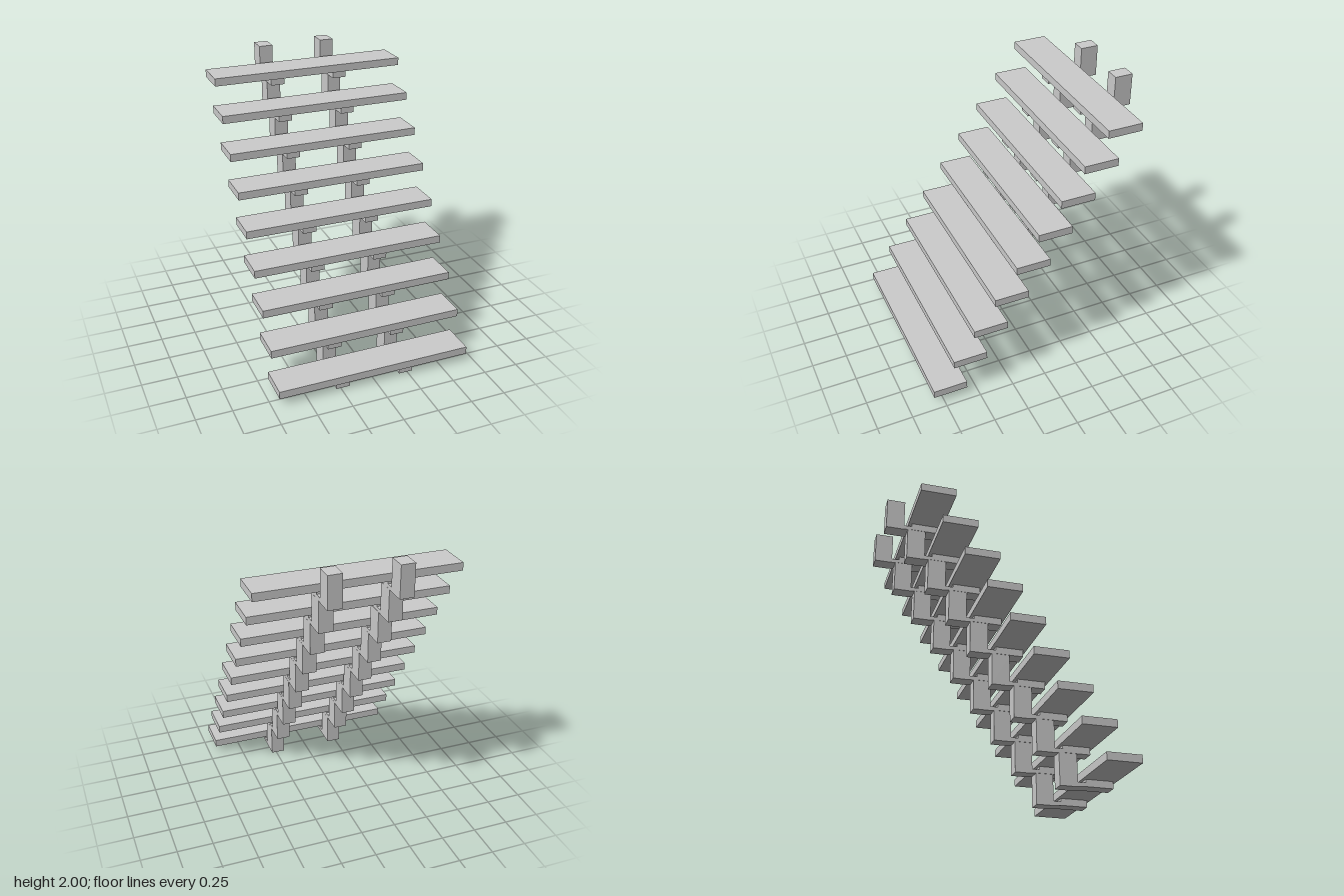
import * as THREE from 'three';

const STEPS = 9, RISE = 0.2217, RUN = 0.1538;
const mat = new THREE.MeshStandardMaterial({ color: 0xcccccc, flatShading: true });

// Side profile of one stringer segment as [z, y]: tread bracket, thin neck, upright post
const PROFILE = [
  [0.795, 0.006], [0.6, 0.006], [0.53, 0.0], [0.418, 0.0], [0.418, 0.2264],
  [0.545, 0.2264], [0.545, 0.032], [0.6, 0.032], [0.6, 0.056], [0.795, 0.056],
];

function stringerGeometry(width) {
  const shape = new THREE.Shape(PROFILE.map(([z, y]) => new THREE.Vector2(-z, y)));
  const geo = new THREE.ExtrudeGeometry(shape, { depth: width, bevelEnabled: false });
  geo.translate(0, 0, -width / 2);
  geo.rotateY(Math.PI / 2); // profile runs along z, thickness along x
  return geo;
}

export function createModel() {
  const stairs = new THREE.Group();
  stairs.name = 'staircase';
  const segmentGeo = stringerGeometry(0.098);
  const treadGeo = new THREE.BoxGeometry(1.395, 0.055, 0.243);

  for (let i = 0; i < STEPS; i++) {
    const step = new THREE.Group();
    step.name = `step${i + 1}`;
    step.position.set(0, i * RISE, -i * RUN);

    // Flat plank
    const tread = new THREE.Mesh(treadGeo, mat);
    tread.name = 'tread';
    tread.position.set(0, 0.0835, 0.6985);
    step.add(tread);

    // Pair of stringer segments under the plank
    for (const side of [-1, 1]) {
      const segment = new THREE.Mesh(segmentGeo, mat);
      segment.name = side > 0 ? 'leftStringerSegment' : 'rightStringerSegment';
      segment.position.x = side * 0.235;
      step.add(segment);
    }
    stairs.add(step);
  }
  return stairs;
}
